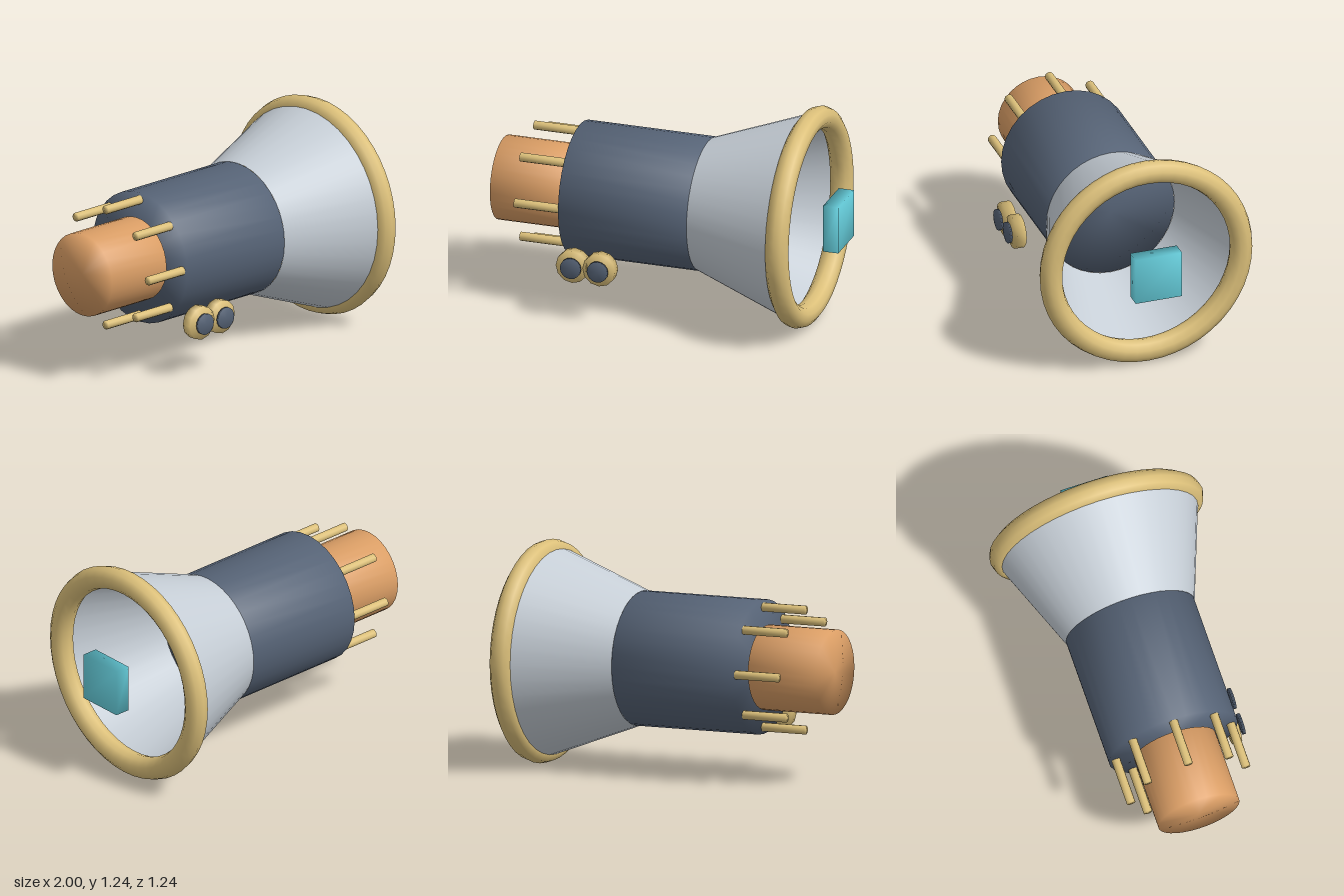
import * as THREE from 'three';
import { mergeVertices } from 'three/addons/utils/BufferGeometryUtils.js';

const AXIS_Y = 0.625;

function material(name, color) {
  const m = new THREE.MeshStandardMaterial({ color });
  m.name = name;
  return m;
}

// Share corner vertices so that shading flows softly over the edges
function weld(geometry) {
  geometry.deleteAttribute('normal');
  geometry.deleteAttribute('uv');
  const welded = mergeVertices(geometry, 1e-4);
  welded.computeVertexNormals();
  return welded;
}

// Cylinder lying along x from x0 to x1
function barrel(x0, x1, radius, sides) {
  const g = new THREE.CylinderGeometry(radius, radius, x1 - x0, sides);
  g.rotateZ(-Math.PI / 2).translate((x0 + x1) / 2, 0, 0);
  return weld(g);
}

// Disc facing +z from z0 to z1
function disc(z0, z1, radius, sides) {
  const g = new THREE.CylinderGeometry(radius, radius, z1 - z0, sides);
  g.rotateX(Math.PI / 2).translate(0, 0, (z0 + z1) / 2);
  return weld(g);
}

export function createModel() {
  const model = new THREE.Group();
  model.name = 'hornDevice';

  const slate = material('slate', 0x566376);
  const silver = material('silver', 0xc6ced6);
  silver.side = THREE.DoubleSide;
  const gold = material('gold', 0xdcc07a);
  const copper = material('copper', 0xdc9f66);
  const cyan = material('cyan', 0x66d0de);

  const add = (name, geometry, mat, x = 0, y = AXIS_Y, z = 0) => {
    const mesh = new THREE.Mesh(geometry, mat);
    mesh.name = name;
    mesh.position.set(x, y, z);
    model.add(mesh);
    return mesh;
  };

  // Main barrel and rear core
  add('body', barrel(-0.555, 0.195, 0.375, 32), slate);
  add('rearCore', barrel(-1, -0.58, 0.237, 32), copper);

  // Open flared bell with a rolled rim
  const bell = new THREE.CylinderGeometry(0.59, 0.375, 0.58, 40, 1, true);
  bell.rotateZ(-Math.PI / 2).translate(0.485, 0, 0);
  add('bell', bell, silver);
  const rim = new THREE.TorusGeometry(0.557, 0.065, 10, 48);
  rim.rotateY(Math.PI / 2);
  add('rim', rim, gold, 0.785);

  // Ring of eight rear pins
  const pin = barrel(-0.82, -0.55, 0.025, 10);
  for (let i = 0; i < 8; i++) {
    const a = (i * Math.PI) / 4;
    add('pin', pin, gold, 0, AXIS_Y + 0.335 * Math.sin(a), 0.335 * Math.cos(a));
  }

  // Pair of dials with dark faces in front of the lower barrel
  const dial = disc(0.345, 0.4, 0.095, 12);
  const dialFace = disc(0.415, 0.432, 0.06, 16);
  for (const x of [-0.465, -0.308]) {
    add('dial', dial, gold, x, 0.315);
    add('dialFace', dialFace, slate, x, 0.315);
  }

  // Emitter block floating before the bell
  add('emitter', weld(new THREE.BoxGeometry(0.09, 0.272, 0.272)), cyan, 0.955);

  return model;
}
